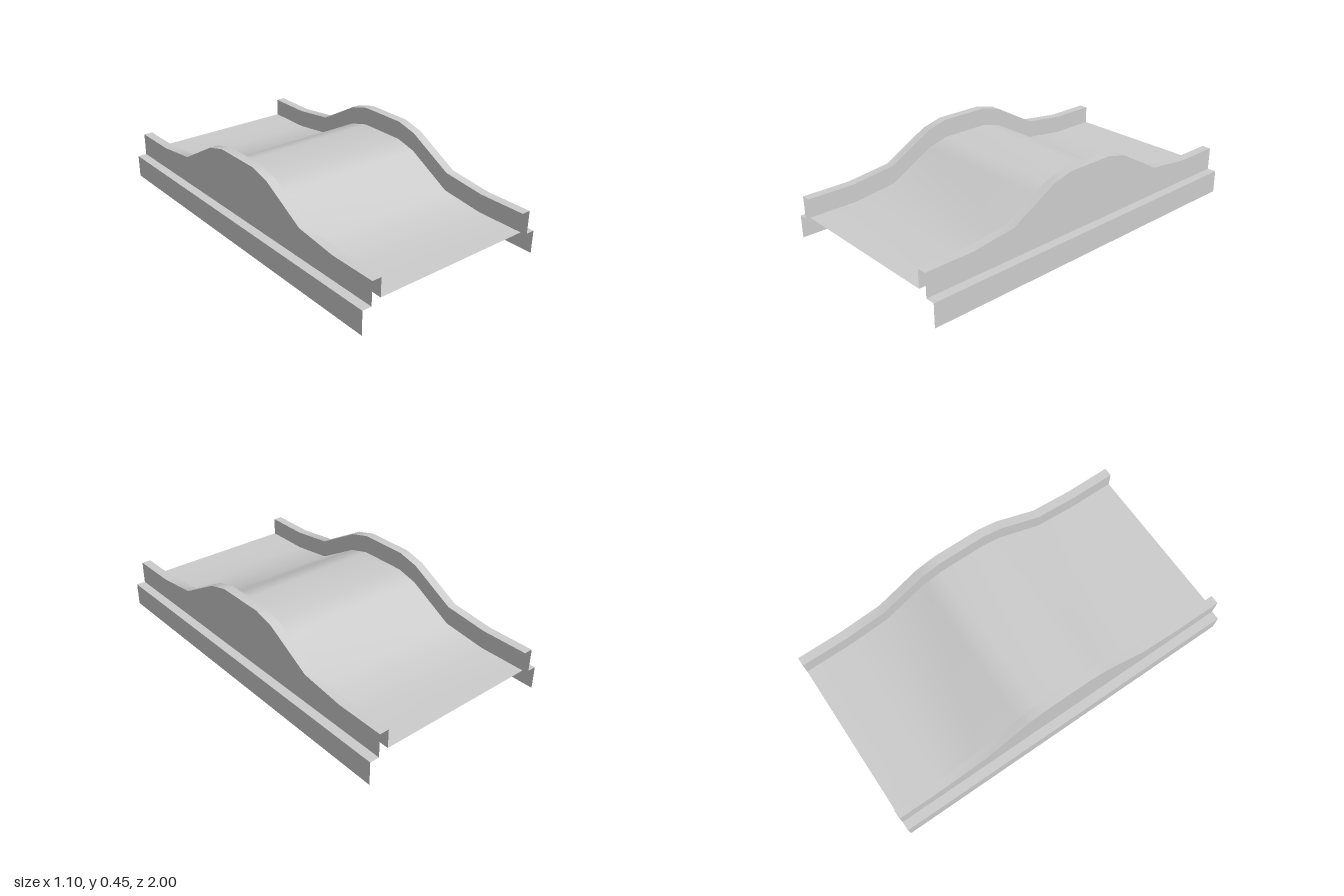
import * as THREE from 'three';

// Half of the hump's side profile as [z, height of the kerb top]; mirrored front to back
const half = [[1, 0.25], [0.74, 0.25], [0.5, 0.28], [0.25, 0.42], [0.135, 0.45]];
const hump = [...half.map(([z, y]) => [-z, y]), ...half.slice().reverse()];

// A sheet swept along z between two section points; each point is [x, height, followsHump]
function sheet(p, q) {
  const positions = [], index = [];
  hump.forEach(([z, top], i) => {
    for (const [x, y, follows] of [p, q]) positions.push(x, follows ? top + y : y, z);
    if (i > 0) {
      const a = 2 * (i - 1);
      index.push(a, a + 2, a + 3, a, a + 3, a + 1);
    }
  });
  const geometry = new THREE.BufferGeometry();
  geometry.setAttribute('position', new THREE.Float32BufferAttribute(positions, 3));
  geometry.setIndex(index);
  geometry.computeVertexNormals();
  return geometry;
}

export function createModel() {
  const model = new THREE.Group();
  model.name = 'humpedTrack';
  const grey = new THREE.MeshStandardMaterial({ color: 0xcccccc, side: THREE.DoubleSide });
  grey.name = 'light grey';

  const add = (name, p, q) => {
    const mesh = new THREE.Mesh(sheet(p, q), grey);
    mesh.name = name;
    model.add(mesh);
  };

  // Curved deck between the kerbs
  add('deck', [-0.45, -0.1, true], [0.45, -0.1, true]);

  // Section of one edge, from the deck outwards: kerb, ledge and skirt
  const section = [
    [0.45, -0.1, true], [0.45, 0, true], [0.5, 0, true],
    [0.5, 0.125, false], [0.55, 0.125, false], [0.55, 0, false],
  ];
  const parts = ['KerbInnerWall', 'KerbTop', 'KerbOuterWall', 'Ledge', 'Skirt'];
  const mirror = ([x, y, follows]) => [-x, y, follows];
  parts.forEach((part, i) => {
    add('left' + part, section[i], section[i + 1]);
    add('right' + part, mirror(section[i + 1]), mirror(section[i]));
  });

  return model;
}
